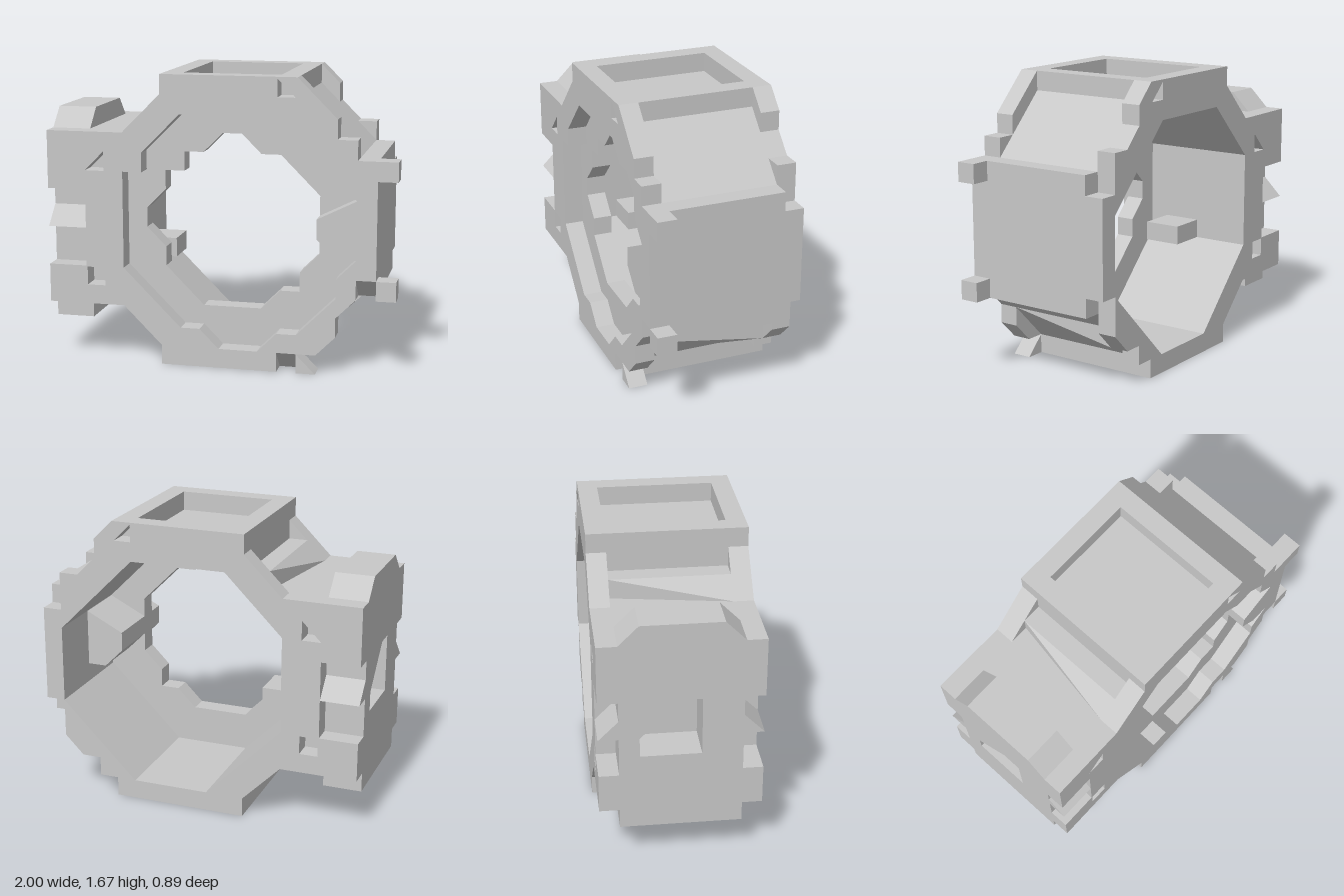
import * as THREE from 'three';
import { ConvexGeometry } from 'three/addons/geometries/ConvexGeometry.js';

const U = 1 / 9; // everything sits on a grid of ninths

const grey = new THREE.MeshStandardMaterial({ color: 0xc8c8c8 });
grey.name = 'plain grey';

const toPoints = (list) => list.map(([x, y]) => new THREE.Vector2(x, y));

function extrude(outline, holes, depth) {
  const shape = new THREE.Shape(toPoints(outline));
  holes.forEach((h) => shape.holes.push(new THREE.Path(toPoints(h))));
  return new THREE.ExtrudeGeometry(shape, { depth, bevelEnabled: false });
}

export function createModel() {
  const model = new THREE.Group();
  model.name = 'octagonalRingHousing';

  function add(name, geometry) {
    geometry.scale(U, U, U);
    const mesh = new THREE.Mesh(geometry, grey);
    mesh.name = name;
    model.add(mesh);
  }
  // outline in x, y, extruded between two depths
  const slab = (name, outline, holes, z0, z1) =>
    add(name, extrude(outline, holes, z1 - z0).translate(0, 0, z0));
  // outline in z, y, extruded across x
  const side = (name, outline, holes = [], x0 = -9, x1 = -7) =>
    add(name, extrude(outline, holes, x1 - x0).rotateY(-Math.PI / 2).translate(x1, 0, 0));
  const box = (name, x0, x1, y0, y1, z0, z1) =>
    add(name, new THREE.BoxGeometry(x1 - x0, y1 - y0, z1 - z0)
      .translate((x0 + x1) / 2, (y0 + y1) / 2, (z0 + z1) / 2));
  // twisted ramp between a few corners
  const ramp = (name, corners) =>
    add(name, new ConvexGeometry(corners.map((c) => new THREE.Vector3(...c))));

  // Plain octagonal bore, and the stepped opening at the front
  const bore = [[-5, 5], [-1, 1], [3, 1], [7, 5], [7, 9], [3, 13], [-2, 13], [-5, 10]];
  const frontOpening = [
    [-5, 5], [-2, 2], [-1, 2], [0, 1], [2, 1], [3, 2], [4, 2], [6, 4], [6, 5], [7, 6],
    [7, 9], [6, 10], [6, 11], [5, 12], [4, 12], [3, 13], [-2, 13], [-4, 11], [-4, 10], [-5, 10],
  ];
  // Narrower opening of the inner lip
  const lipOpening = [
    [-4, 8], [-3, 9], [-3, 10], [-2, 10], [-2, 11], [-1, 11], [0, 12], [1, 12], [2, 11], [3, 11],
    [5, 9], [5, 6], [4, 5], [4, 4], [3, 4], [2, 3], [-1, 3], [-3, 5], [-3, 6], [-4, 7],
  ];
  // Middle of the ring, set in from the end plates
  const coreOutline = [
    [-3, 0], [4, 0], [4, 1], [6, 3], [7, 4], [8, 4], [8, 11], [7, 11], [4, 14],
    [-3, 14], [-3, 13], [-4, 13], [-4, 12], [-7, 12], [-7, 3], [-5, 3], [-5, 4], [-3, 2],
  ];
  // Both end plates share the -x half of their outline
  const plateLeftHalf = [
    [4, 15], [-3, 15], [-3, 14], [-5, 12], [-9, 12], [-9, 9], [-7, 9], [-7, 5], [-9, 5],
    [-9, 3], [-5, 3], [-3, 1], [-3, 0],
  ];
  const frontOutline = [
    [3, 0], [3, 1], [5, 1], [6, 2], [6, 3], [7, 4], [7, 5], [8, 5], [8, 11], [7, 11],
    [7, 12], [6, 12], [6, 13], ...plateLeftHalf,
  ];
  const backOutline = [
    [4, 0], [4, 1], [5, 1], [5, 2], [6, 2], [7, 3], [7, 5], [8, 5], [8, 10], [7, 10],
    [7, 12], [6, 12], [5, 13], [5, 14], ...plateLeftHalf,
  ];
  // Small pockets cut through the plates
  const pockets = [
    [[-6.95, 4], [-6, 4], [-6, 4.95], [-6.95, 4.95]],
    [[-7, 10], [-6, 10], [-6, 11]],
    [[3, 14], [3.9, 14], [3, 14.9]],
  ];

  slab('ringCore', coreOutline, [bore], -3, 3);
  slab('frontPlate', frontOutline, [frontOpening, ...pockets], 3, 4);
  slab('backPlate', backOutline, [bore, ...pockets], -4, -3);
  slab('innerLip', bore, [lipOpening], 2, 3);

  // Twisted ramps on the lower left flank and in the upper right valley
  ramp('flankRamp', [[5, 2, 3], [5, 2, -3], [6, 3, 3], [6, 3, -3], [6, 2, -3]]);
  ramp('valleyRamp', [[-5, 12, 3], [-4, 12, 3], [-4, 12, -3], [-4, 13, 3], [-4, 13, -3]]);

  // Raised rim closing the sides of the top tray
  box('topRimRight', -3, -2, 14, 15, -3, 3);
  box('topRimLeft', 3, 4, 14, 15, -3, 3);

  // Blocks inside the ring
  slab('innerWallBlock', [[5, 7], [5, 8], [7, 9], [7, 6], [6, 6]].reverse(), [], -1, 4);
  box('innerStud', -5, -3, 5, 6, -1, 1);

  // Side block with a recess in its outer face
  side('sideBlock', [[-3, 3], [3, 3], [3, 12], [-3, 12]],
    [[[-2, 6], [1, 6], [1, 9], [0, 9], [-2, 7]]]);
  side('sideBlockTop', [[-3, 12], [3, 12], [2, 13], [-2, 13]]);
  box('sideBlockFoot', -9, -7, 2, 3, -3, 3);
  side('frontWedge', [[3, 7], [4, 7], [3, 8]]);
  side('backWedge', [[-3, 7], [-3, 8], [-4, 7]]);

  // Small tabs, and undercut corners beside them, at the front edge
  for (const y of [4, 10]) box('frontTab', 8, 9, y, y + 1, 3, 4);
  slab('bottomSpur', [[4, 0], [5, 0], [4, 1]], [], 3, 4);
  for (const [x, y] of [[7, 4], [3, 0]]) {
    side('undercutCorner', [[3, y], [4, y + 1], [3, y + 1]], [], x, x + 1);
  }

  return model;
}
